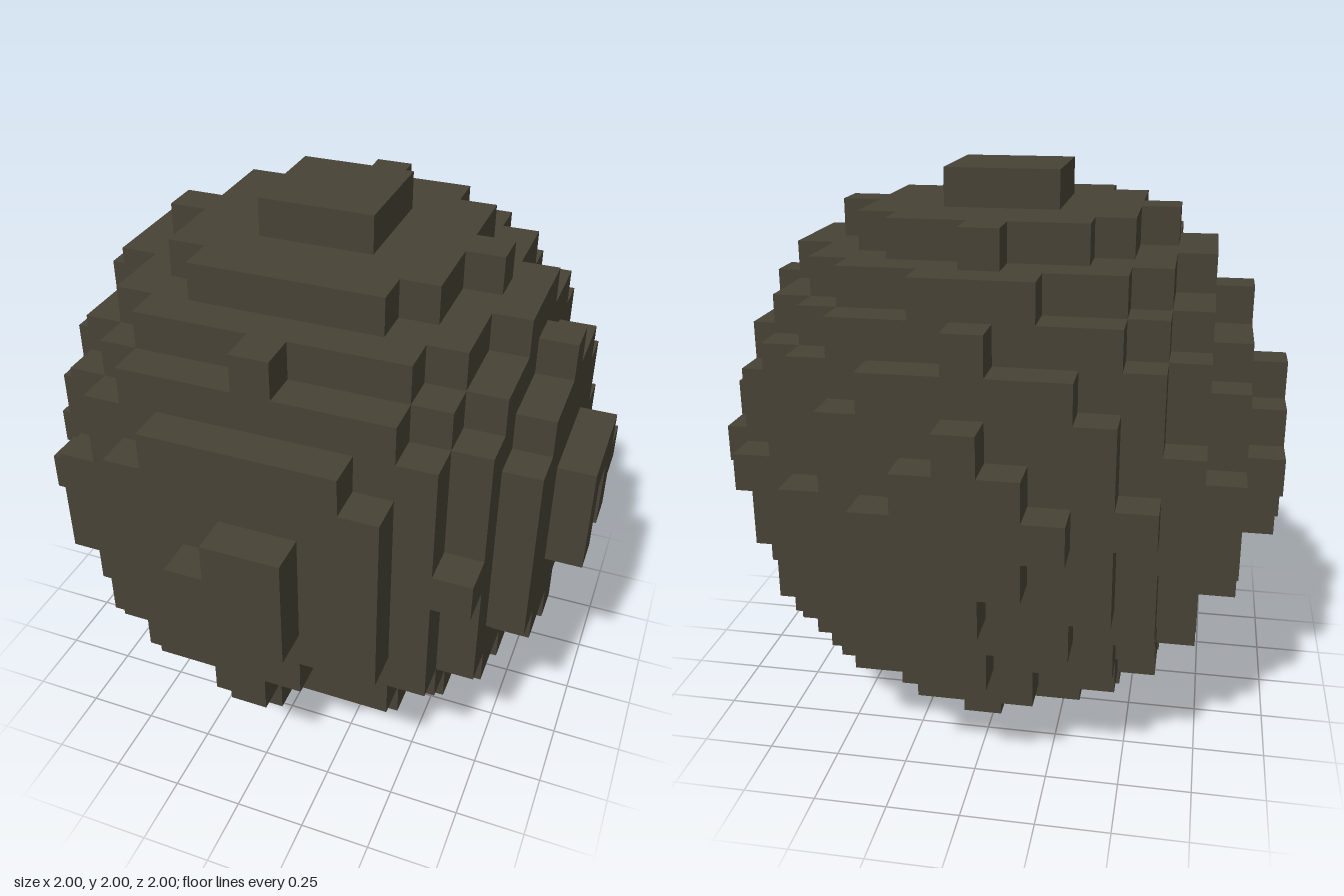
import * as THREE from 'three';
import { mergeGeometries } from 'three/addons/utils/BufferGeometryUtils.js';

const N = 7;                    // cells each side of the centre cell
const S = 2 / (2 * N + 1);      // cell size

// Irregular cells that bulge out of the round body
const added = new Set([
  '7,0,-2', '-7,2,0', '-7,-2,0', '-7,0,2', '-7,0,-2', '2,0,-7', '-2,0,-7',
  '0,2,-7', '0,-2,-7', '-2,-7,0', '0,-7,2', '0,-7,-2',
]);
// Irregular cells chipped out of it
const removed = new Set([
  '-1,1,7', '7,0,0', '7,-1,0', '0,4,6', '0,6,4', '0,-6,4', '4,0,6', '-4,0,6', '6,0,4',
  '2,-3,6', '1,5,5', '-1,5,5', '1,-5,5', '5,1,5', '5,-1,5', '5,0,-5', '5,1,-5', '5,-1,-5',
]);

function solid(x, y, z) {
  const key = `${x},${y},${z}`;
  if (added.has(key)) return true;
  return x * x + y * y + z * z <= 52 && !removed.has(key);
}

// One square template per cell side, facing outwards
const h = Math.PI / 2;
const sides = [
  [[0, 0, 1], 0, 0], [[0, 0, -1], 0, Math.PI],
  [[1, 0, 0], 0, h], [[-1, 0, 0], 0, -h],
  [[0, 1, 0], -h, 0], [[0, -1, 0], h, 0],
].map(([dir, rx, ry]) => ({
  dir,
  face: new THREE.PlaneGeometry(S, S).translate(0, 0, S / 2).rotateX(rx).rotateY(ry),
}));

export function createModel() {
  const group = new THREE.Group();
  group.name = 'blockSphere';
  const darkStone = new THREE.MeshStandardMaterial({ color: 0x474235 });
  darkStone.name = 'darkStone';

  // Keep only the cell sides that touch empty space
  const faces = [];
  for (let x = -N; x <= N; x++)
    for (let y = -N; y <= N; y++)
      for (let z = -N; z <= N; z++) {
        if (!solid(x, y, z)) continue;
        for (const { dir, face } of sides) {
          if (solid(x + dir[0], y + dir[1], z + dir[2])) continue;
          faces.push(face.clone().translate(x * S, y * S + 1, z * S));
        }
      }

  const body = new THREE.Mesh(mergeGeometries(faces), darkStone);
  body.name = 'steppedBoulder';
  group.add(body);
  return group;
}
